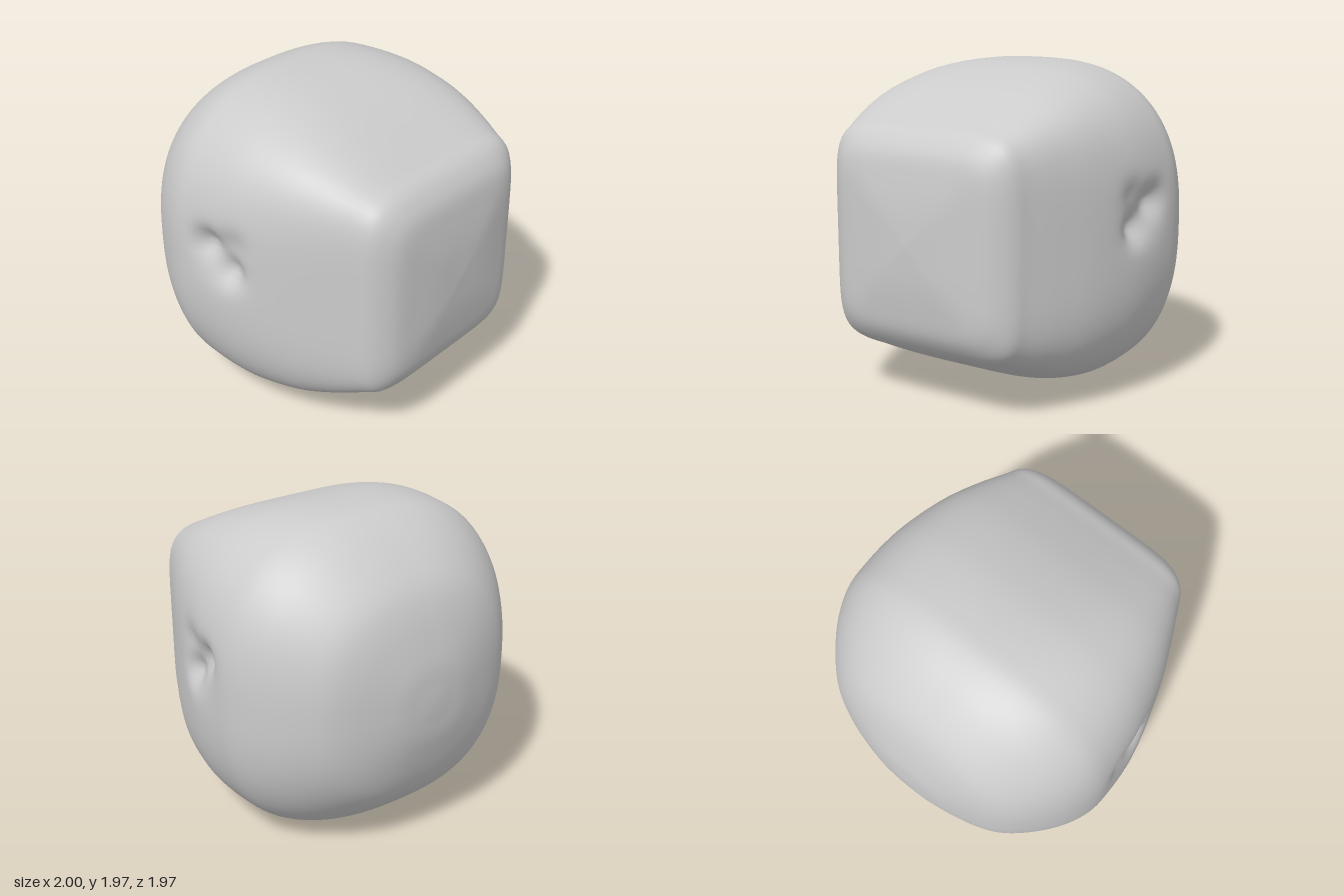
import * as THREE from 'three';
import { mergeVertices } from 'three/addons/utils/BufferGeometryUtils.js';

const CENTRE_Y = 0.99;

// Half-height of the body along its length: [x, radius], round end to flat end
const PROFILE = [
  [-1, 0], [-0.995, 0.1], [-0.975, 0.27], [-0.9, 0.53], [-0.8, 0.7], [-0.6, 0.875],
  [-0.4, 0.97], [-0.22, 0.985], [0, 0.968], [0.2, 0.922], [0.4, 0.855], [0.6, 0.765],
  [0.75, 0.69], [0.84, 0.645], [0.9, 0.585], [0.945, 0.5], [0.97, 0.37], [0.99, 0.2], [1, 0],
];

// Two dips with a slanted ridge between them, inside a shallow hollow: [x, y, radius, depth]
const DIPS = [
  [-0.11, 1.19, 0.085, 0.07],
  [0.06, 1.05, 0.085, 0.065],
  [0.08, 1.24, 0.09, 0.03],
  [-0.03, 1.11, 0.14, 0.045],
];

const bump = (d, r) => Math.exp(-(d * d) / (r * r));

function dentDepth(x, y) {
  return DIPS.reduce((sum, [cx, cy, r, depth]) => sum + depth * bump(Math.hypot(x - cx, y - cy), r), 0);
}

function bodyGeometry() {
  const curve = new THREE.SplineCurve(PROFILE.map(([x, r]) => new THREE.Vector2(r, x)));
  const points = curve.getPoints(126);
  points.forEach((p) => { p.x = Math.max(0, p.x); });
  points[0].x = points[points.length - 1].x = 0;

  let geo = new THREE.LatheGeometry(points, 160);
  geo.rotateZ(-Math.PI / 2);
  const pos = geo.attributes.position;
  for (let i = 0; i < pos.count; i++) {
    const x = pos.getX(i);
    let y = pos.getY(i);
    let z = pos.getZ(i);
    // Cross-section grows from nearly round to a rounded square
    const r = Math.hypot(y, z);
    if (r > 1e-6) {
      const t = THREE.MathUtils.clamp((x + 1) / 1.85, 0, 1);
      const n = 2.4 + 0.7 * t + 3.4 * t ** 4;
      const s = (Math.abs(y / r) ** n + Math.abs(z / r) ** n) ** (-1 / n);
      y *= s;
      z *= s;
    }
    // Press the pair of side dents inward
    if (Math.abs(z) > 0.6) z -= Math.sign(z) * dentDepth(x, y + CENTRE_Y);
    pos.setXYZ(i, x, y + CENTRE_Y, z);
  }
  // Weld the seam and the poles for continuous smooth normals
  geo.deleteAttribute('uv');
  geo.deleteAttribute('normal');
  geo = mergeVertices(geo, 1e-5);
  geo.computeVertexNormals();
  return geo;
}

export function createModel() {
  const group = new THREE.Group();
  group.name = 'dentedBlock';
  const body = new THREE.Mesh(bodyGeometry(), new THREE.MeshStandardMaterial({ color: 0xcccccc }));
  body.name = 'body';
  group.add(body);
  return group;
}
